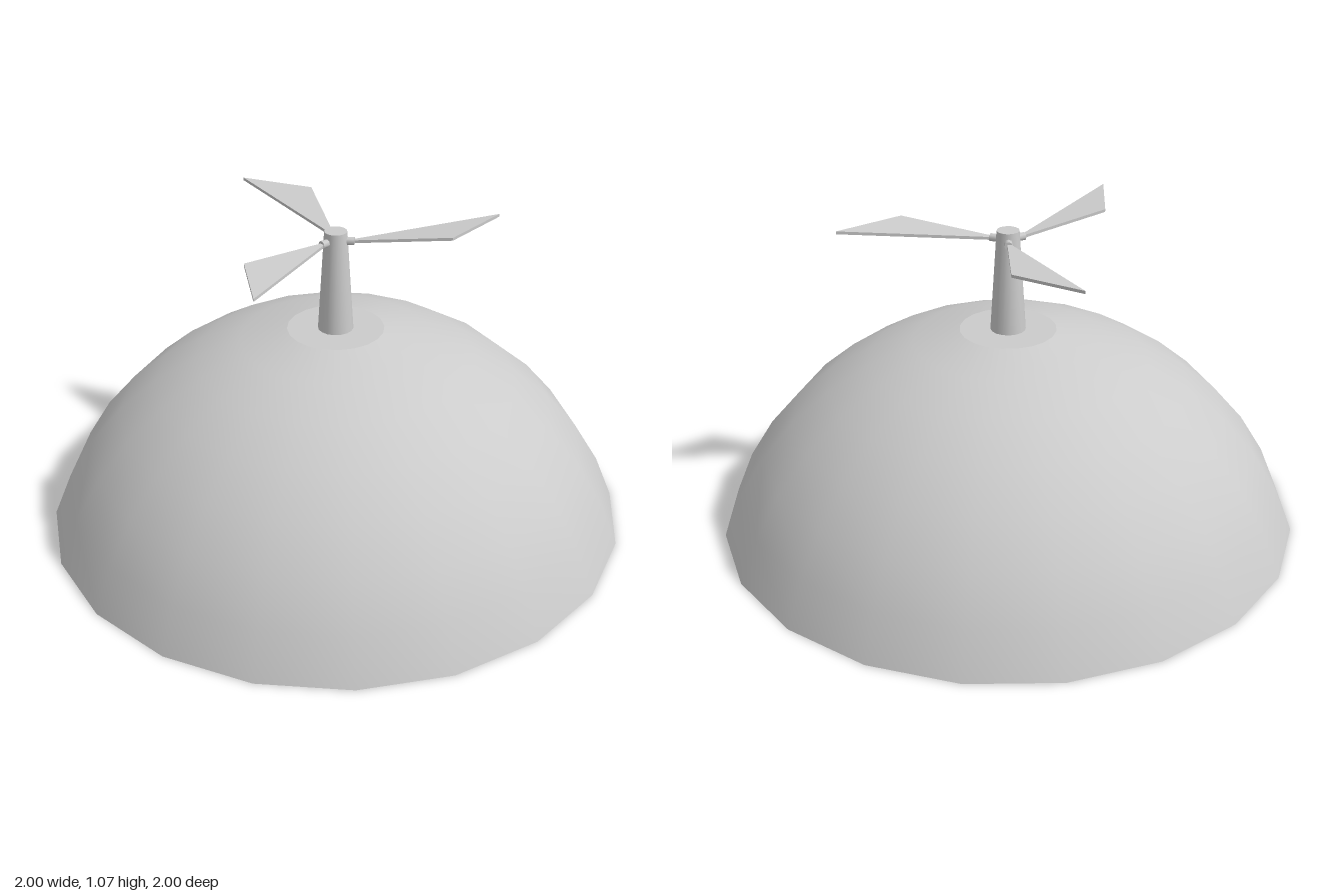
import * as THREE from 'three';

const SIDES = 20;
const smooth = new THREE.MeshStandardMaterial({ color: 0xcccccc });
const flat = new THREE.MeshStandardMaterial({ color: 0xcccccc, flatShading: true });

function addMesh(parent, name, geometry, material) {
  const mesh = new THREE.Mesh(geometry, material);
  mesh.name = name;
  parent.add(mesh);
  return mesh;
}

// Thin, upswept blade lying along +x, swept back at the tip
function bladeGeometry() {
  const shape = new THREE.Shape([
    [0.055, -0.008], [0.055, 0.004], [0.382, 0], [0.518, -0.215],
  ].map(([x, y]) => new THREE.Vector2(x, y)));
  const geometry = new THREE.ExtrudeGeometry(shape, { depth: 0.01, bevelEnabled: false });
  geometry.rotateX(Math.PI / 2);
  const p = geometry.attributes.position;
  for (let i = 0; i < p.count; i++) {
    p.setY(i, p.getY(i) + 1.037 + 0.092 * (p.getX(i) - 0.055) + 0.049 * p.getZ(i));
  }
  geometry.computeVertexNormals();
  return geometry;
}

export function createModel() {
  const model = new THREE.Group();
  model.name = 'propellerCap';

  // Outer dome: part of a sphere cut at 72 degrees, with a small flat crown
  const R = 1 / Math.sin(THREE.MathUtils.degToRad(72));
  const drop = R * Math.cos(THREE.MathUtils.degToRad(72));
  const profile = [];
  for (let deg = 72; deg >= 9; deg -= 9) {
    const a = THREE.MathUtils.degToRad(deg);
    profile.push(new THREE.Vector2(R * Math.sin(a), R * Math.cos(a) - drop));
  }
  addMesh(model, 'dome', new THREE.LatheGeometry(profile, SIDES), smooth);
  const top = profile[profile.length - 1];
  const crown = addMesh(model, 'crown', new THREE.CircleGeometry(top.x, SIDES), smooth);
  crown.rotation.x = -Math.PI / 2;
  crown.position.y = top.y;

  // Faceted lining, facing inwards, with a flat ceiling
  const lining = [[0, 0.475], [0.63, 0.475], [1, 0]].map(([x, y]) => new THREE.Vector2(x, y));
  addMesh(model, 'lining', new THREE.LatheGeometry(lining, SIDES), flat);

  // Tapered mast
  const mastHeight = 1.065 - top.y;
  const mast = addMesh(model, 'mast', new THREE.CylinderGeometry(0.038, 0.06, mastHeight, 16), smooth);
  mast.position.y = top.y + mastHeight / 2;

  // Three blades, each on a short peg
  const blade = bladeGeometry();
  const pegGeometry = new THREE.CylinderGeometry(0.014, 0.014, 0.04, 8).rotateZ(Math.PI / 2);
  for (const deg of [87.6, 206.6, 318.4]) {
    const arm = new THREE.Group();
    arm.name = 'propellerArm';
    arm.rotation.y = -THREE.MathUtils.degToRad(deg);
    addMesh(arm, 'peg', pegGeometry, smooth).position.set(0.042, 1.033, 0);
    addMesh(arm, 'blade', blade, flat);
    model.add(arm);
  }
  return model;
}
